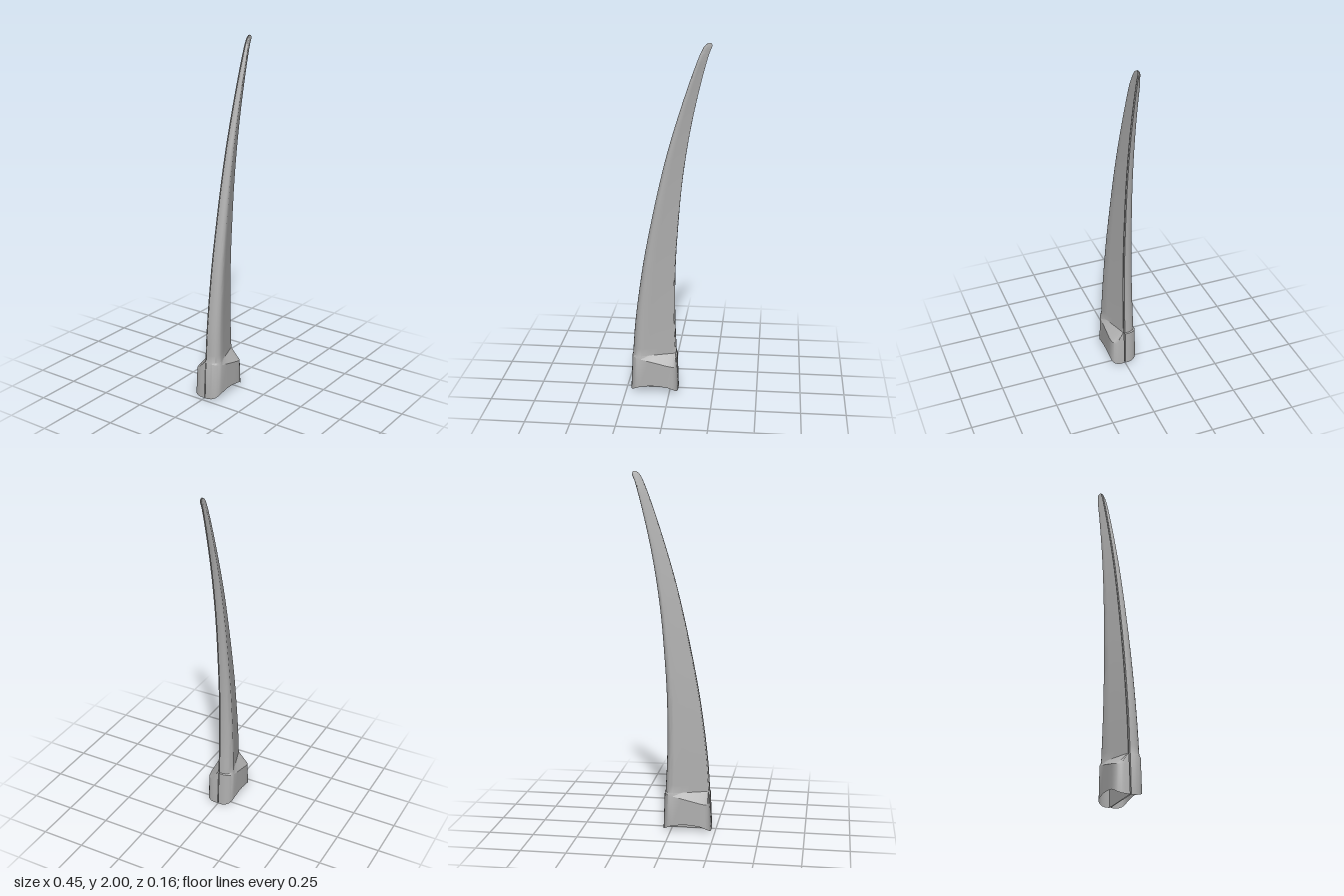
import * as THREE from 'three';
import { toCreasedNormals } from 'three/addons/utils/BufferGeometryUtils.js';

const GAP = 0.003; // half the slit between the two halves

// Section points as [fraction across, fraction of depth], thick edge first
const THICK = [[0, 0], [0, 0.3], [0.015, 0.55], [0.05, 0.78], [0.1, 0.92], [0.15, 0.985], [0.2, 1]];
const COLLAR = [...THICK, [0.4, 1], [0.6, 1], [0.8, 1], [0.9, 0.95], [0.96, 0.82], [0.99, 0.6], [1, 0.35], [1, 0]];
const BLADE = COLLAR.map(([u, v], i) =>
  i < THICK.length ? [u, v] : [u * 0.98, i === COLLAR.length - 1 ? 0 : 1 - (u - 0.2) * 1.2]);

// Sweep of the horn: [height, left edge x, right edge x]
const EDGES = [
  [0.22, -0.213, 0.035], [0.4, -0.2, 0.027], [0.6, -0.176, 0.025], [0.8, -0.146, 0.03],
  [1.0, -0.108, 0.043], [1.2, -0.066, 0.06], [1.4, -0.018, 0.086], [1.6, 0.04, 0.121],
  [1.8, 0.105, 0.166], [1.9, 0.141, 0.192], [1.95, 0.161, 0.207], [1.985, 0.18, 0.221], [2.0, 0.198, 0.216],
];

// One half: side 1 is the front; side -1 has the thick edge at +x and faces back
function halfGeometry(side) {
  const rings = [];
  const addRing = (section, left, right, depth, height) => rings.push(section.map(([u, v]) => {
    const across = side > 0 ? u : 1 - u;
    return [left + across * (right - left), height(u), side * (GAP + v * (depth - GAP))];
  }));

  // Collar with an arched foot and a sloping shoulder
  addRing(COLLAR, -0.225, 0.047, 0.08, (u) => 0.04 * (1 - Math.abs(2 * u - 1) ** 3));
  addRing(COLLAR, -0.216, 0.04, 0.078, (u) => 0.215 - 0.06 * u);

  // Curved tapering blade
  const sweep = new THREE.CatmullRomCurve3(EDGES.map(([y, l, r]) => new THREE.Vector3(l, y, r)));
  const steps = 48;
  for (let i = 0; i <= steps; i++) {
    const p = sweep.getPoint(i / steps);
    const tip = Math.sqrt(Math.min(1, Math.max(0, (2 - p.y) / 0.1)));
    const depth = GAP + 0.002 + (0.072 - 0.029 * p.y) * tip;
    addRing(BLADE, p.x, p.z, depth, () => p.y);
  }

  const n = COLLAR.length;
  const index = [];
  for (let i = 0; i < rings.length - 1; i++) {
    for (let j = 0; j < n; j++) {
      const a = i * n + j, b = i * n + (j + 1) % n;
      index.push(a, b, b + n, a, b + n, a + n);
    }
  }
  // Close the tip
  const top = (rings.length - 1) * n;
  for (let j = 1; j < n - 1; j++) index.push(top, top + j, top + j + 1);

  const geometry = new THREE.BufferGeometry();
  geometry.setAttribute('position', new THREE.Float32BufferAttribute(rings.flat(2), 3));
  geometry.setIndex(index);
  return toCreasedNormals(geometry, 0.6);
}

export function createModel() {
  const group = new THREE.Group();
  group.name = 'curvedHorn';
  const grey = new THREE.MeshStandardMaterial({ color: 0xb0b0b0, side: THREE.DoubleSide });
  grey.name = 'grey';
  for (const [name, side] of [['frontHalf', 1], ['backHalf', -1]]) {
    const mesh = new THREE.Mesh(halfGeometry(side), grey);
    mesh.name = name;
    group.add(mesh);
  }
  return group;
}
